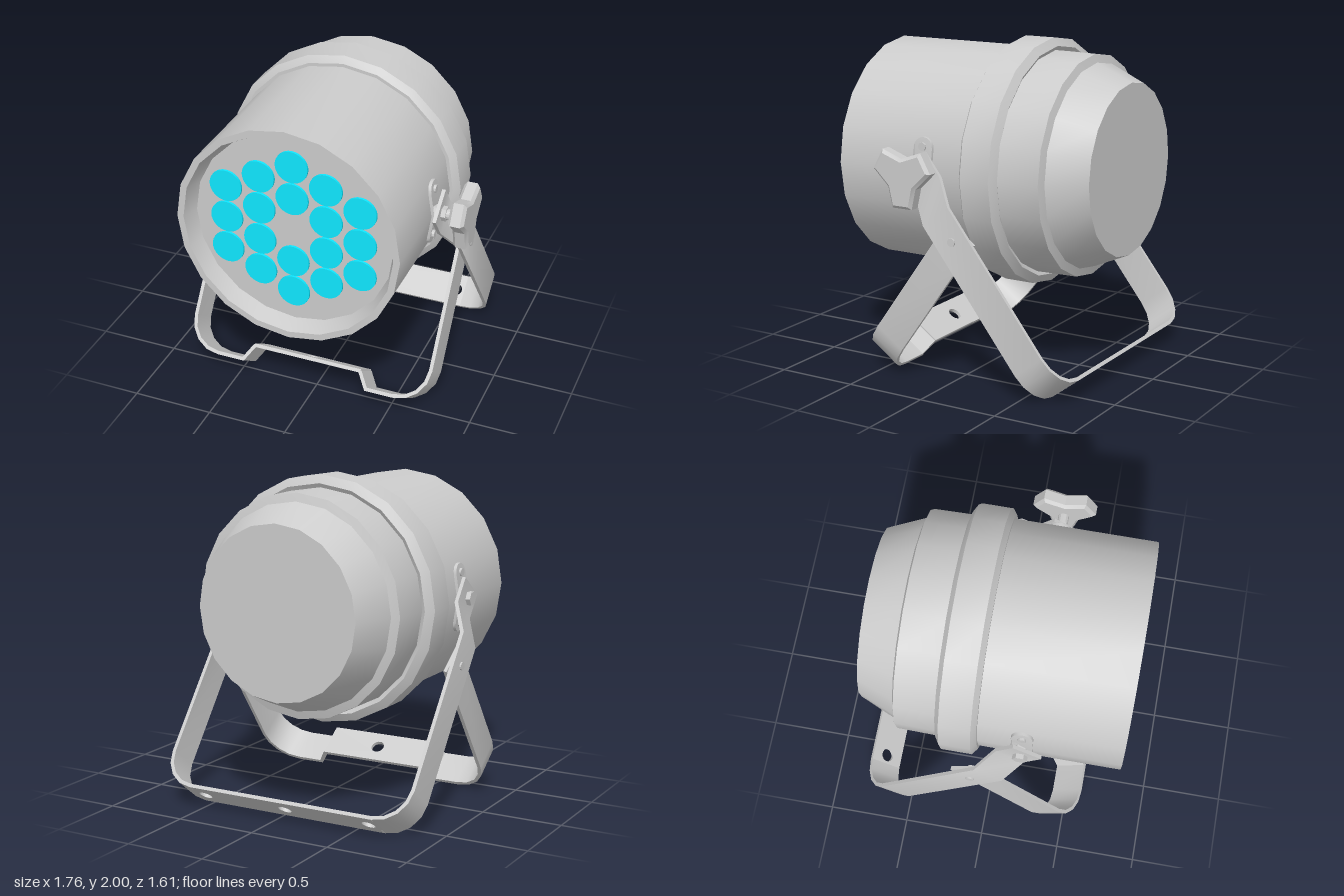
import * as THREE from 'three';
import { toCreasedNormals } from 'three/addons/utils/BufferGeometryUtils.js';

const grey = new THREE.MeshStandardMaterial({ color: 0xcccccc });
const cyan = new THREE.MeshStandardMaterial({ color: 0x0fe7ff });
const CX = -0.05, CY = 1.25, PIVOT_Z = 0.21;

function add(parent, name, geometry, material = grey) {
  const mesh = new THREE.Mesh(toCreasedNormals(geometry, 0.5), material);
  mesh.name = name;
  parent.add(mesh);
  return mesh;
}

// Cylinder along x between x0 and x1
function pin(parent, name, r, x0, x1, y, z, sides = 12) {
  const g = new THREE.CylinderGeometry(r, r, Math.abs(x1 - x0), sides);
  g.rotateZ(Math.PI / 2);
  add(parent, name, g).position.set((x0 + x1) / 2, y, z);
}

// Bent strip: path in x/y thickened sideways, extruded along z
function strip(path, thick, width, side) {
  const pts = path.map(p => new THREE.Vector2(p[0] * side, p[1]));
  const a = [], b = [];
  pts.forEach((p, i) => {
    const d0 = p.clone().sub(pts[Math.max(i - 1, 0)]).normalize();
    const d1 = pts[Math.min(i + 1, pts.length - 1)].clone().sub(p).normalize();
    const d = d0.clone().add(d1).normalize();
    const ref = d0.lengthSq() > 0 ? d0 : d1;
    const n = new THREE.Vector2(-d.y, d.x).multiplyScalar(thick / 2 / Math.max(d.dot(ref), 0.5));
    a.push(p.clone().add(n));
    b.unshift(p.clone().sub(n));
  });
  const g = new THREE.ExtrudeGeometry(new THREE.Shape([...a, ...b]), { depth: width, bevelEnabled: false });
  return g.translate(0, 0, -width / 2);
}

// Flat bar with round holes, lying in x/z
function drilledBar(half, width, thick, y, holes, r) {
  const s = new THREE.Shape();
  s.moveTo(-half, -width / 2).lineTo(half, -width / 2).lineTo(half, width / 2).lineTo(-half, width / 2);
  for (const x of holes) s.holes.push(new THREE.Path().absarc(x, 0, r, 0, Math.PI * 2, true));
  const g = new THREE.ExtrudeGeometry(s, { depth: thick, bevelEnabled: false, curveSegments: 10 });
  return g.rotateX(-Math.PI / 2).translate(0, y - thick / 2, 0);
}

// Quarter-round corner from the base up to the arm
function corner(half, radius, y) {
  return [0, 1, 2, 3, 4].map(i => {
    const t = i / 4 * Math.PI / 2;
    return [half - radius + radius * Math.sin(t), y + radius - radius * Math.cos(t)];
  });
}

export function createModel() {
  const model = new THREE.Group();
  const WIDTH = 0.214, THICK = 0.022;

  // Housing: closed back, stepped collar, tube and recessed front panel
  const profile = [
    [0, -0.8], [0.52, -0.8], [0.62, -0.57], [0.67, -0.555], [0.675, -0.29], [0.70, -0.305],
    [0.75, -0.275], [0.75, -0.085], [0.71, -0.055], [0.69, -0.055], [0.69, 0.805],
    [0.65, 0.805], [0.615, 0.7], [0, 0.7],
  ].map(p => new THREE.Vector2(...p));
  add(model, 'housing', new THREE.LatheGeometry(profile, 20).rotateX(Math.PI / 2)).position.set(CX, CY, 0);

  // Lenses on a staggered grid, centre left empty
  const lenses = new THREE.Group();
  lenses.name = 'lenses';
  model.add(lenses);
  const columns = [[0, [-2, -1, 1, 2]], [1, [-1.5, -0.5, 0.5, 1.5]], [2, [-1, 0, 1]]];
  for (const [c, rows] of columns) for (const side of c ? [-1, 1] : [1]) for (const r of rows) {
    const g = new THREE.CylinderGeometry(0.1, 0.1, 0.03, 32).rotateX(Math.PI / 2);
    add(lenses, 'lens', g, cyan).position.set(CX + side * c * 0.2075, CY + r * 0.2085, 0.7);
  }

  // Rear bracket: long arms that bend in to the pivot
  const rear = new THREE.Group();
  rear.name = 'rearBracket';
  rear.position.set(CX, 0.067, -0.715);
  rear.rotation.x = 0.657;
  model.add(rear);
  const rearPath = [...corner(0.819, 0.2, 0.011), [0.819, 1.22], [0.725, 1.41], [0.725, 1.58]];
  add(rear, 'rearBase', drilledBar(0.62, WIDTH, THICK, 0.011, [-0.56, 0, 0.56], 0.042));

  // Front bracket: shorter, with a raised middle
  const front = new THREE.Group();
  front.name = 'frontBracket';
  front.position.set(CX, 0.065, 0.5125);
  front.rotation.x = -0.62;
  model.add(front);
  const frontPath = [[0.35, 0.111], [0.41, 0.011], ...corner(0.784, 0.2, 0.011), [0.784, 1.085]];
  add(front, 'frontBase', drilledBar(0.355, WIDTH, THICK, 0.111, [0], 0.042));

  for (const s of [-1, 1]) {
    add(rear, 'rearArm', strip(rearPath, THICK, WIDTH, s));
    add(front, 'frontArm', strip(frontPath, THICK, WIDTH, s));
    const x = d => CX + s * d;

    // Bolt joining the two brackets
    pin(model, 'bracketBolt', 0.025, x(0.755), x(0.84), 0.9, -0.08);

    // Mounting plate with rounded ends, creased to follow the housing
    const outline = [];
    for (let i = 0; i <= 8; i++) {
      const t = i / 8 * Math.PI;
      outline.push(new THREE.Vector2(0.065 * Math.cos(t), 0.145 + 0.065 * Math.sin(t)));
    }
    outline.push(new THREE.Vector2(-0.065, 0));
    for (let i = 0; i <= 8; i++) outline.push(outline[i].clone().negate());
    outline.push(new THREE.Vector2(0.065, 0));
    const plate = new THREE.ExtrudeGeometry(new THREE.Shape(outline), { depth: 0.02, bevelEnabled: false });
    plate.rotateY(s * Math.PI / 2);
    const pos = plate.attributes.position;
    for (let i = 0; i < pos.count; i++) pos.setX(i, pos.getX(i) - s * Math.abs(pos.getY(i)) * 0.158);
    add(model, 'mountPlate', plate).position.set(x(0.688), CY, PIVOT_Z);
    for (const dy of [-0.155, 0.155])
      pin(model, 'plateBolt', 0.025, x(0.66), x(0.695), CY + dy, PIVOT_Z);

    // Pivot hardware
    pin(model, 'innerNut', 0.05, x(0.68), x(0.714), CY, PIVOT_Z, 6);
    pin(model, 'outerNut', 0.045, x(0.73), x(0.765), CY, PIVOT_Z, 6);
  }
  pin(model, 'knobShaft', 0.033, CX + 0.7, CX + 0.85, CY, PIVOT_Z);

  // Three-lobed clamp knob
  const half = [[0, 0.105], [0.125, 0.15], [0.183, 0.045], [0.085, -0.05], [0.058, -0.168]];
  const lobes = [...half, ...half.slice(1).reverse().map(([a, b]) => [-a, b])];
  const knob = new THREE.ExtrudeGeometry(new THREE.Shape(lobes.map(p => new THREE.Vector2(...p))), {
    depth: 0.06, bevelThickness: 0.018, bevelSize: 0.018, bevelOffset: -0.008, bevelSegments: 1,
  });
  add(model, 'clampKnob', knob.rotateY(Math.PI / 2)).position.set(0.792, CY + 0.005, PIVOT_Z);

  return model;
}
